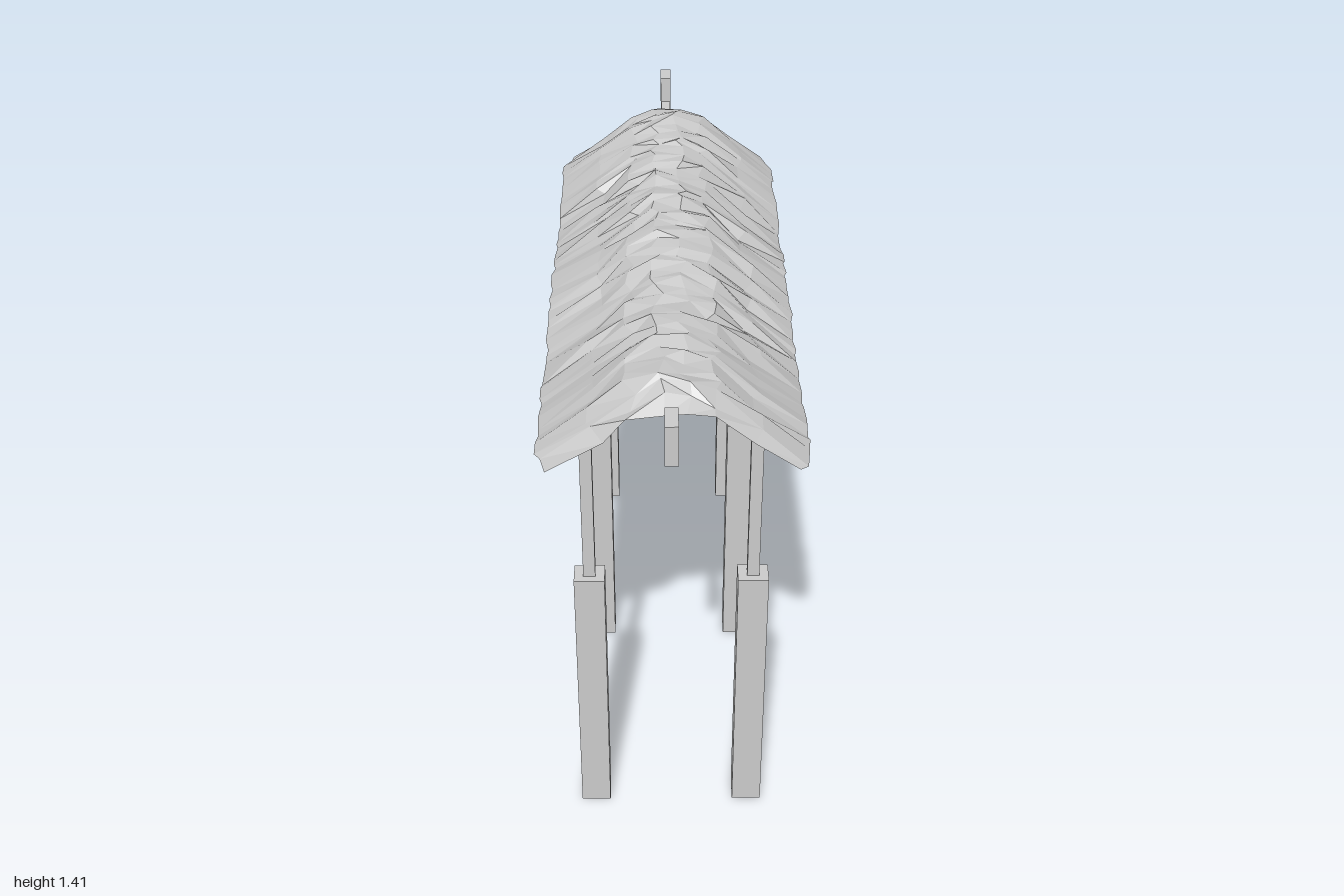
import * as THREE from 'three';

// small repeatable noise source, -1..1
function makeNoise(seed) {
  let s = seed;
  return () => {
    s = (s * 16807) % 2147483647;
    return (s / 2147483647) * 2 - 1;
  };
}

export function createModel() {
  const model = new THREE.Group();
  const material = new THREE.MeshStandardMaterial({ color: 0xcccccc, flatShading: true });
  const roofMaterial = new THREE.MeshStandardMaterial({
    color: 0xcccccc, flatShading: true, side: THREE.DoubleSide,
  });

  // box given by its centre in x and z and its bottom and top
  function box(parent, name, x, z, bottom, top, width, depth) {
    const mesh = new THREE.Mesh(new THREE.BoxGeometry(width, top - bottom, depth), material);
    mesh.position.set(x, (bottom + top) / 2, z);
    mesh.name = name;
    parent.add(mesh);
  }

  // three pairs of thick footings with slim posts
  for (const z of [0.67, -0.015, -0.725]) {
    for (const x of [0.2, -0.205]) {
      const column = new THREE.Group();
      column.name = 'column';
      box(column, 'footing', x, z, 0, 0.757, 0.076, 0.064);
      box(column, 'post', x, z, 0.757, 1.25, 0.03, 0.025);
      model.add(column);
    }
  }

  // ridge beam with an upright block at each end
  box(model, 'ridgeBeam', -0.005, 0, 1.31, 1.335, 0.026, 1.86);
  for (const side of [1, -1]) {
    box(model, 'beamEndBlock', -0.005, side * 0.9625, 1.31, 1.41, 0.03, 0.075);
  }

  // ragged thatch: a gable cross-section swept along z, sagging between posts
  const section = [
    [-0.315, 1.177], [-0.19, 1.273], [-0.1, 1.341], [-0.035, 1.374],
    [0.03, 1.374], [0.1, 1.348], [0.2, 1.268], [0.315, 1.177],
  ];
  const noise = makeNoise(4711);
  const rows = 44, cols = section.length;
  const zBack = -0.835, zFront = 0.85, step = (zFront - zBack) / rows;
  const positions = [], indices = [];
  for (let i = 0; i <= rows; i++) {
    const atEnd = i === 0 || i === rows;
    const z0 = zBack + i * step;
    const sag = 0.012 * Math.cos((z0 - 0.01) * Math.PI * 2 / 0.7);
    // the plan corners are chamfered and the ridge dips at both ends
    const fromEnd = Math.min(i, rows - i) * step;
    const corner = Math.max(0, 1 - fromEnd / 0.07);
    for (let j = 0; j < cols; j++) {
      const eave = j === 0 || j === cols - 1;
      const [px, py] = section[j];
      const ridge = Math.max(0, 1 - Math.abs(px) / 0.3);
      const x = px * (1 - 0.1 * corner) + noise() * (eave ? 0.005 : 0.018);
      const y = py + sag * (1 - 0.4 * ridge) + noise() * (eave ? 0.003 : 0.008)
        + corner * (0.012 - 0.048 * ridge);
      const z = z0 + noise() * (atEnd ? 0.003 : step * 0.42);
      positions.push(x, y, z);
      if (i < rows && j < cols - 1) {
        const a = i * cols + j, b = a + 1, c = a + cols, d = c + 1;
        if (noise() > 0) indices.push(a, c, b, b, c, d);
        else indices.push(a, c, d, a, d, b);
      }
    }
  }
  const roofGeometry = new THREE.BufferGeometry();
  roofGeometry.setAttribute('position', new THREE.Float32BufferAttribute(positions, 3));
  roofGeometry.setIndex(indices);
  roofGeometry.computeVertexNormals();
  const roof = new THREE.Mesh(roofGeometry, roofMaterial);
  roof.name = 'thatchRoof';
  model.add(roof);

  return model;
}
